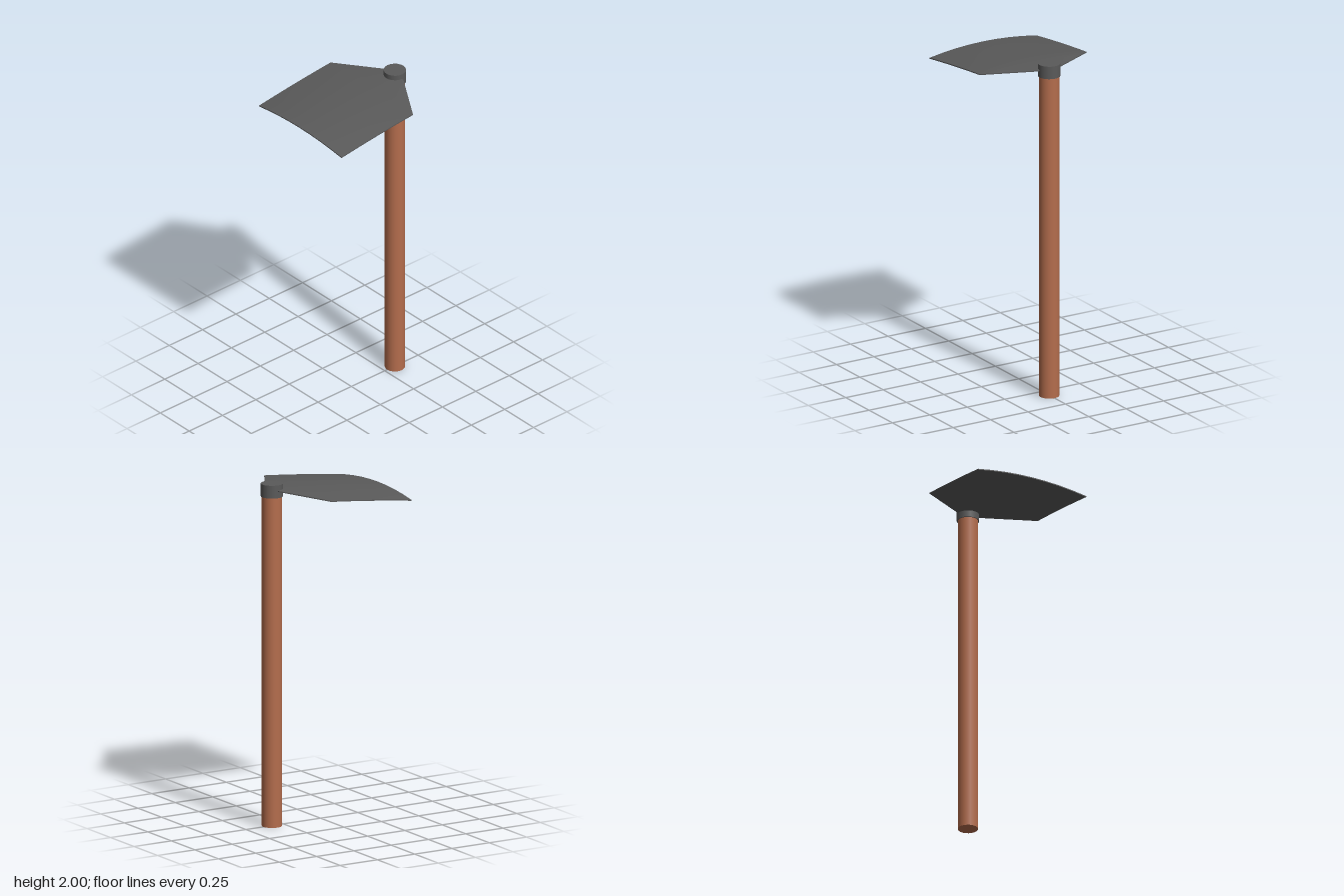
import * as THREE from 'three';

export function createModel() {
  const wood = new THREE.MeshStandardMaterial({ name: 'reddish wood', color: 0xb46d4d });
  const steel = new THREE.MeshStandardMaterial({ name: 'dark steel', color: 0x5a5a5a });
  const group = new THREE.Group();
  group.name = 'hoe';
  const poleZ = -0.326;
  const lerp = THREE.MathUtils.lerp;

  function post(name, radius, y0, y1, material) {
    const mesh = new THREE.Mesh(new THREE.CylinderGeometry(radius, radius, y1 - y0, 20), material);
    mesh.name = name;
    mesh.position.set(0, (y0 + y1) / 2, poleZ);
    group.add(mesh);
  }

  // Straight round pole and the collar capping it
  post('handle', 0.058, 0, 1.95, wood);
  post('collar', 0.064, 1.925, 2, steel);

  // Blade: a thin slab tapered towards the collar, tilted down and arched crosswise
  const geometry = new THREE.BoxGeometry(2, 0.006, 1, 8, 1, 12);
  const p = geometry.attributes.position;
  for (let i = 0; i < p.count; i++) {
    const s = p.getX(i);
    const v = p.getZ(i) + 0.5;
    const taper = Math.min(v * 3, 1);
    const front = Math.max((v * 3 - 1) / 2, 0);
    const z = v * 3 < 1 ? lerp(-0.325, -0.15, taper) : lerp(-0.15, 0.387, front);
    const halfWidth = lerp(0.075, 0.357, taper);
    const drop = s * s * (0.002 + 0.018 * taper + 0.01 * front);
    const crown = 1.968 - 0.003 * taper - 0.04 * front - 0.014 * front * front;
    p.setXYZ(i, s * halfWidth, crown - drop + p.getY(i), z - 0.12 * drop);
  }
  geometry.computeVertexNormals();
  const blade = new THREE.Mesh(geometry, steel);
  blade.name = 'blade';
  group.add(blade);

  return group;
}
